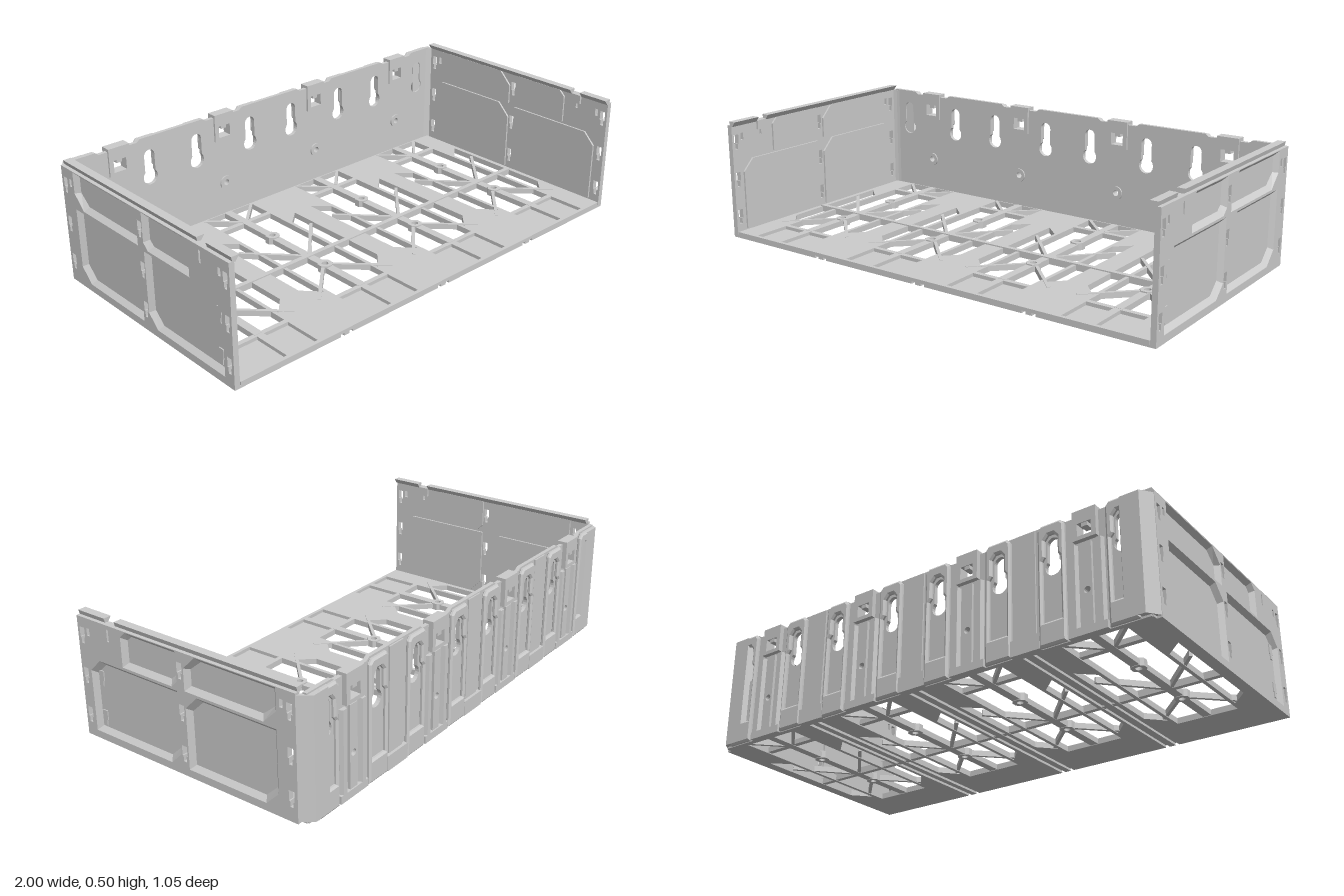
import * as THREE from 'three';

const mat = new THREE.MeshStandardMaterial({ color: 0xcccccc, flatShading: true, side: THREE.DoubleSide });
const V = (p) => p.map(([x, y]) => new THREE.Vector2(x, y));
const rect = (x0, y0, x1, y1) => [[x0, y0], [x1, y0], [x1, y1], [x0, y1]];
const BAYS = [-0.75, -0.25, 0.25, 0.75];

function add(parent, name, geo, x = 0, y = 0, z = 0) {
  const m = new THREE.Mesh(geo, mat);
  m.name = name;
  m.position.set(x, y, z);
  parent.add(m);
  return m;
}

function box(parent, name, x0, x1, y0, y1, z0, z1) {
  return add(parent, name, new THREE.BoxGeometry(x1 - x0, y1 - y0, z1 - z0), (x0 + x1) / 2, (y0 + y1) / 2, (z0 + z1) / 2);
}

function plate(outline, holes, depth) {
  const s = new THREE.Shape(V(outline));
  holes.forEach((h) => s.holes.push(new THREE.Path(V(h))));
  return new THREE.ExtrudeGeometry(s, { depth, bevelEnabled: false });
}

// Horizontal plate drawn in x and z, extruded upward
function flat(outline, holes, depth) {
  const f = (p) => p.map(([x, z]) => [x, -z]);
  return plate(f(outline), holes.map(f), depth).rotateX(-Math.PI / 2);
}

// Vertical side plate drawn in z and y, extruded toward +x
function side(outline, holes, depth) {
  const f = (p) => p.map(([z, y]) => [-z, y]);
  return plate(f(outline), holes.map(f), depth).rotateY(Math.PI / 2);
}

// Rounded slot with a wider round end at the bottom
function keyhole(cx, top, low, rTop, rLow) {
  const pts = [];
  for (let i = 0; i <= 12; i++) {
    const a = (Math.PI * i) / 12;
    pts.push([cx + rTop * Math.cos(a), top + rTop * Math.sin(a)]);
  }
  const a0 = Math.acos(rTop / rLow);
  for (let i = 0; i <= 16; i++) {
    const a = Math.PI - a0 + ((Math.PI + 2 * a0) * i) / 16;
    pts.push([cx + rLow * Math.cos(a), low + rLow * Math.sin(a)]);
  }
  return pts;
}

const circle = (x, y, r, n = 16) =>
  Array.from({ length: n }, (_, i) => {
    const a = ((i + 0.5) * 2 * Math.PI) / n;
    return [x + r * Math.cos(a), y + r * Math.sin(a)];
  });

function makeFloor() {
  const g = new THREE.Group();
  g.name = 'floor';
  const openings = (c) => {
    const slot = (s) => [[c + s * 0.205, -0.29], [c + s * 0.14, -0.23], [c + s * 0.14, 0.28], [c + s * 0.205, 0.21]];
    return [rect(c - 0.125, -0.485, c + 0.125, 0.33), slot(1), slot(-1)];
  };
  const trays = (c) => [rect(c - 0.125, 0.35, c - 0.015, 0.51), rect(c + 0.015, 0.35, c + 0.125, 0.51)];
  const top = BAYS.flatMap((c) => [...openings(c), ...trays(c)]);
  add(g, 'floorPlate', flat(rect(-0.975, -0.5, 0.975, 0.525), top, 0.014), 0, 0.01, 0);
  BAYS.forEach((c) => {
    // Lower skin leaves grooves between the bays
    const x0 = c < -0.5 ? -0.98 : c - 0.22, x1 = c > 0.5 ? 0.98 : c + 0.22;
    add(g, 'lowerSkin', flat(rect(x0, -0.5, x1, 0.525), openings(c), 0.01));
    // Spine, in pieces between the screw rings
    [[-0.49, -0.205], [-0.175, 0.115], [0.145, 0.34]].forEach(([z0, z1]) => box(g, 'spine', c - 0.017, c + 0.017, 0.002, 0.025, z0, z1));
    [-0.19, 0.13].forEach((z) => add(g, 'screwRing', flat(circle(c, z, 0.03, 8), [circle(c, z, 0.013)], 0.03)));
    box(g, 'bayCrossbar', c - 0.13, c + 0.13, 0.004, 0.024, -0.377, -0.355);
    // Diagonal braces
    [-1, 1].forEach((s) => {
      [[0.19, -0.17, 0.01, 0.025], [0.19, 0.31, 0.02, 0.14], [0.125, -0.485, 0.015, -0.375]].forEach(([xa, za, xb, zb]) => {
        const dx = s * (xb - xa), dz = zb - za;
        const m = add(g, 'brace', new THREE.BoxGeometry(Math.hypot(dx, dz), 0.023, 0.013), c + (s * (xa + xb)) / 2, 0.0145, (za + zb) / 2);
        m.rotation.y = -Math.atan2(dz, dx);
      });
    });
  });
  [-0.5, 0, 0.5].forEach((x) => box(g, 'dividerRunner', x - 0.013, x + 0.013, 0, 0.01, -0.5, 0.525));
  box(g, 'mainCrossRib', -0.965, 0.965, 0.002, 0.029, 0.026, 0.046);
  return g;
}

function makeBack() {
  const g = new THREE.Group();
  g.name = 'backWall';
  const outline = [[-0.975, 0], [0.975, 0], [0.975, 0.476]];
  [...BAYS].reverse().forEach((c) => [[0.1, 0.476], [0.085, 0.465], [-0.085, 0.465], [-0.1, 0.476]].forEach(([d, y]) => outline.push([c + d, y])));
  outline.push([-0.975, 0.476]);
  const holes = BAYS.flatMap((c) => [
    keyhole(c - 0.137, 0.397, 0.305, 0.024, 0.033),
    keyhole(c + 0.137, 0.397, 0.305, 0.024, 0.033),
    rect(c - 0.028, 0.375, c + 0.028, 0.425),
    circle(c, 0.165, 0.013),
  ]);
  add(g, 'backPlate', plate(outline, holes, 0.016), 0, 0, -0.506);
  BAYS.forEach((c) => {
    [-1, 1].forEach((s) => {
      // Raised outer block with keyhole above a box pocket
      const k = c + s * 0.137;
      const hole = [[k - 0.038, 0.09], [k + 0.038, 0.09], [k + 0.038, 0.33], [k + 0.027, 0.345], [k + 0.027, 0.41], [k + 0.012, 0.428], [k - 0.012, 0.428], [k - 0.027, 0.41], [k - 0.027, 0.345], [k - 0.038, 0.33]];
      const block = new THREE.Shape(V([[k - 0.055, 0], [k + 0.055, 0], [k + 0.055, 0.455], [k + 0.04, 0.472], [k - 0.04, 0.472], [k - 0.055, 0.455]]));
      block.holes.push(new THREE.Path(V(hole)));
      const geo = new THREE.ExtrudeGeometry(block, { depth: 0.008, bevelSize: 0.008, bevelThickness: 0.006, bevelOffset: -0.008, bevelSegments: 1 });
      add(g, 'keyholeBlock', geo, 0, 0, -0.519);
      // Flutes beside the clip channel
      const f = c + s * 0.052;
      add(g, 'flute', flat([[f - 0.016, -0.505], [f + 0.016, -0.505], [f + 0.009, -0.522], [f - 0.009, -0.522]], [], 0.35));
    });
    // Clip frame with window and centre column
    add(g, 'clipFrame', plate(rect(c - 0.047, 0.36, c + 0.047, 0.477), [rect(c - 0.028, 0.375, c + 0.028, 0.425)], 0.043), 0, 0, -0.525);
    box(g, 'clipTongue', c - 0.012, c + 0.012, 0.41, 0.46, -0.522, -0.487);
    add(g, 'clipColumn', plate(rect(c - 0.02, 0, c + 0.02, 0.35), [circle(c, 0.165, 0.013)], 0.012), 0, 0, -0.517);
    add(g, 'screwBoss', plate(circle(c, 0.165, 0.029, 24), [circle(c, 0.165, 0.013)], 0.006), 0, 0, -0.49);
    box(g, 'footLedge', c - 0.075, c + 0.075, 0, 0.03, -0.522, -0.505);
  });
  [-0.5, 0, 0.5].forEach((x) => {
    box(g, 'wallRib', x - 0.04, x + 0.04, 0.06, 0.472, -0.512, -0.505);
    box(g, 'footLedge', x - 0.06, x + 0.06, 0, 0.06, -0.523, -0.505);
  });
  return g;
}

// Recessed panel: sloped rim from the outer face down to a sunken sheet
function sunkenPanel(parent, poly) {
  const zs = poly.map((p) => p[0]), ys = poly.map((p) => p[1]);
  const [z0, z1, y0, y1] = [Math.min(...zs), Math.max(...zs), Math.min(...ys), Math.max(...ys)];
  const shrink = (v, a, b) => (a + b) / 2 + ((v - (a + b) / 2) * (b - a - 0.036)) / (b - a);
  const inner = poly.map(([z, y]) => [shrink(z, z0, z1), shrink(y, y0, y1)]);
  const pos = [];
  poly.forEach((a, i) => {
    const j = (i + 1) % poly.length, b = poly[j], c = inner[j], d = inner[i];
    const P = (p, x) => [x, p[1], p[0]];
    pos.push(...P(a, 1), ...P(b, 1), ...P(c, 0.982), ...P(a, 1), ...P(c, 0.982), ...P(d, 0.982));
  });
  const geo = new THREE.BufferGeometry();
  geo.setAttribute('position', new THREE.Float32BufferAttribute(pos, 3));
  geo.computeVertexNormals();
  add(parent, 'panelRim', geo);
  add(parent, 'panelSheet', side(poly, [], 0.012), 0.97, 0, 0);
}

function makeSide() {
  const g = new THREE.Group();
  g.name = 'sideWall';
  const panel = (zf, zb, y0, y1, cut) => [[zf, y0], [zb + cut, y0], [zb, y0 + cut], [zb, y1], [zf - cut, y1], [zf, y1 - cut]];
  const panels = [
    panel(0.305, 0.04, 0.335, 0.475, 0.025), panel(0.005, -0.4, 0.335, 0.475, 0.055),
    panel(0.475, 0.04, 0.03, 0.325, 0.05), panel(0.005, -0.4, 0.03, 0.325, 0.055),
  ];
  const tSlot = (z, y) => [[z - 0.007, y - 0.035], [z + 0.007, y - 0.035], [z + 0.007, y - 0.012], [z + 0.012, y - 0.012], [z + 0.012, y + 0.027], [z - 0.012, y + 0.027], [z - 0.012, y - 0.012], [z - 0.007, y - 0.012]];
  const slots = [0.41, 0.25, 0.09].flatMap((y) => [0.503, 0.024, -0.455].map((z) => tSlot(z, y)));
  slots.push(rect(0.365, 0.415, 0.374, 0.462), rect(0.465, 0.41, 0.479, 0.44), rect(-0.428, 0.41, -0.414, 0.44));
  // Panel openings leave room for the two extra slots near the front
  const inset = [0.25, 0.09].map((y) => tSlot(0.44, y));
  panels.forEach((p) => sunkenPanel(g, p));
  inset.forEach((p) => add(g, 'innerSlotRim', side(p, [], 0.004), 0.982, 0, 0));
  add(g, 'wallFrame', side(rect(0.525, 0, -0.48, 0.478), [...panels, ...slots], 0.022), 0.978, 0, 0);
  // Flared lip along the top edge, broken by a gap
  [[0.393, 0.525], [-0.478, 0.343]].forEach(([z0, z1]) => {
    const lip = plate([[0.972, 0.474], [0.984, 0.474], [0.99, 0.495], [0.957, 0.495]], [], z1 - z0);
    add(g, 'topLip', lip, 0, 0, z0);
  });
  box(g, 'gapLatch', 0.968, 0.986, 0.44, 0.478, 0.345, 0.39);
  // Chamfered rear corner
  add(g, 'cornerPost', flat([[1, -0.478], [0.965, -0.525], [0.89, -0.525], [0.875, -0.5], [0.965, -0.488]], [], 0.462), 0, 0.008, 0);
  return g;
}

export function createModel() {
  const model = new THREE.Group();
  model.name = 'storageTray';
  const left = makeSide(), right = makeSide();
  left.name = 'leftSideWall';
  right.name = 'rightSideWall';
  right.scale.x = -1;
  model.add(makeFloor(), makeBack(), left, right);
  return model;
}
